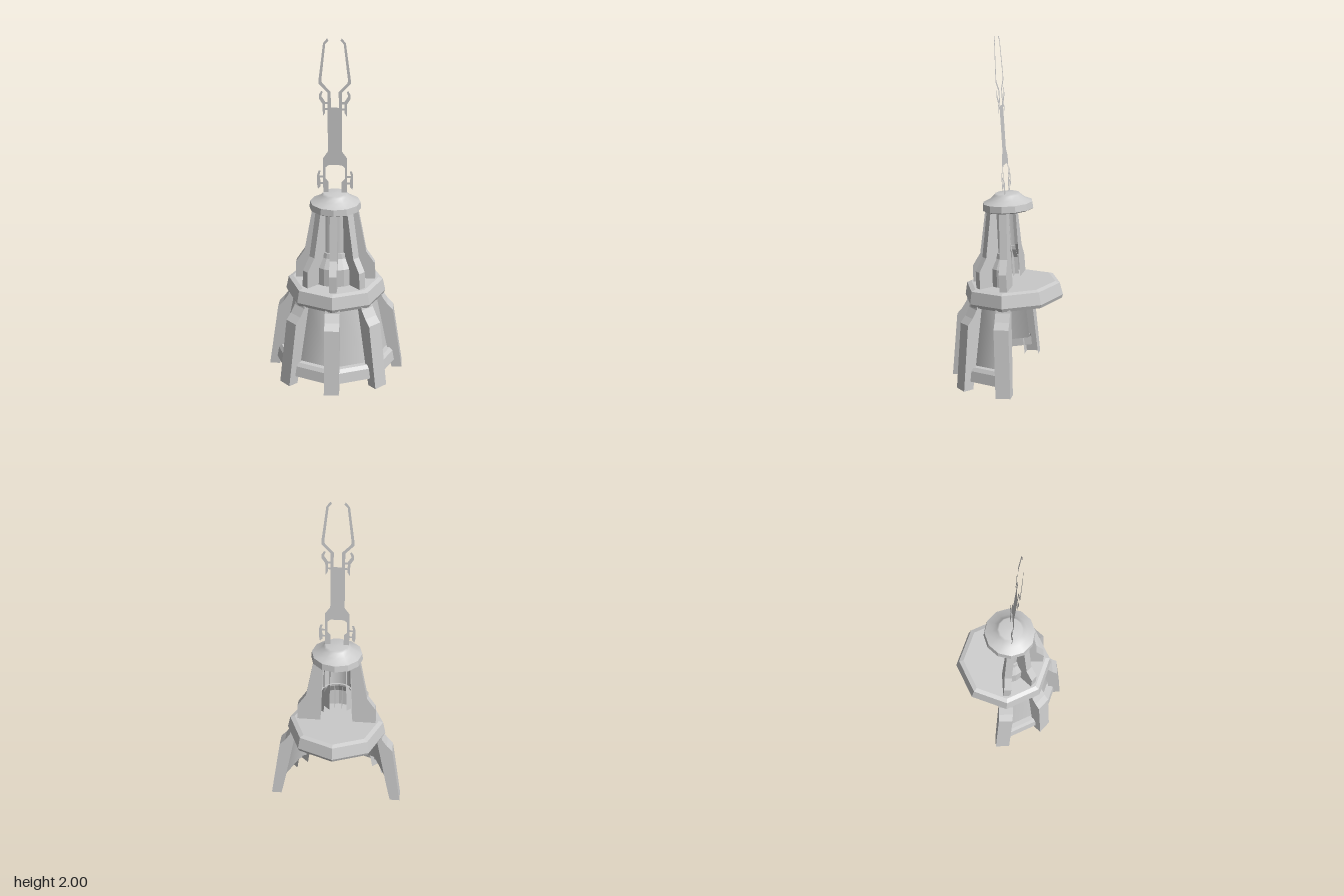
import * as THREE from 'three';
import { mergeGeometries } from 'three/addons/utils/BufferGeometryUtils.js';

export function createModel() {
  const root = new THREE.Group();
  root.name = 'tower';
  const mat = new THREE.MeshStandardMaterial({ color: 0xcccccc, flatShading: true, side: THREE.DoubleSide });
  const smooth = new THREE.MeshStandardMaterial({ color: 0xcccccc, side: THREE.DoubleSide });

  // The whole tower leans slightly forward
  const tower = new THREE.Group();
  tower.name = 'leaningTower';
  tower.rotation.x = 0.067;
  tower.position.set(0, 0.027, -0.07);
  root.add(tower);

  const add = (name, geometry, material = mat) => {
    const mesh = new THREE.Mesh(geometry, material);
    mesh.name = name;
    tower.add(mesh);
    return mesh;
  };
  const vecs = (pts) => pts.map(([x, y]) => new THREE.Vector2(x, y));
  const full = (name, pts, sides, material) =>
    add(name, new THREE.LatheGeometry(vecs(pts), sides), material);
  // Front half only; the back is open
  const half = (name, pts, sides, material) =>
    add(name, new THREE.LatheGeometry(vecs(pts), sides, -Math.PI / 2, Math.PI), material);

  // Five buttresses across the front half: two side plates and an outer strip,
  // open at the foot and against the wall
  const ribs = (name, outer, inner, width) => {
    const side = new THREE.ShapeGeometry(new THREE.Shape(vecs([...outer, ...inner])));
    const back = side.clone();
    back.index.array.reverse();
    const strip = new THREE.PlaneGeometry(1, 1, 1, outer.length - 1);
    outer.forEach(([r, y], i) => {
      strip.attributes.position.setXYZ(2 * i, r, y, -width / 2);
      strip.attributes.position.setXYZ(2 * i + 1, r, y, width / 2);
    });
    const geo = mergeGeometries([side.translate(0, 0, width / 2), back.translate(0, 0, -width / 2), strip]);
    geo.computeVertexNormals();
    for (let i = -2; i <= 2; i++) {
      add(name, geo).rotation.y = (i * Math.PI) / 4 - Math.PI / 2;
    }
  };

  // Lower storey
  half('lowerWall', [[0.312, 0.115], [0.232, 0.525]], 4, smooth);
  half('baseBand', [[0.367, 0.05], [0.356, 0.11], [0.34, 0.13], [0.309, 0.13]], 4);
  ribs('lowerButtress',
    [[0.395, 0], [0.338, 0.38], [0.305, 0.415], [0.275, 0.46], [0.255, 0.525]],
    [[0.23, 0.525], [0.31, 0.115], [0.335, 0]], 0.085);

  // Octagonal platform with a hollow underside
  full('platform', [[0, 0.568], [0.25, 0.568], [0.276, 0.559], [0.291, 0.488],
    [0.282, 0.468], [0.262, 0.468], [0.257, 0.525], [0, 0.525]], 8);

  // Upper storey
  half('upperWall', [[0.152, 0.565], [0.148, 0.67], [0.115, 0.725], [0.11, 0.755], [0.09, 0.755]], 8);
  half('upperShaft', [[0.1, 0.755], [0.095, 1.01]], 8, smooth);
  ribs('upperButtress',
    [[0.232, 0.565], [0.228, 0.665], [0.178, 0.74], [0.127, 1.01]],
    [[0.08, 1.01], [0.095, 0.565]], 0.043);

  // Cap with a flared brim and a hollow underside
  full('capTop', [[0, 1.092], [0.066, 1.09], [0.076, 1.08], [0.1, 1.058], [0.144, 1.037]], 12, smooth);
  full('capRim', [[0.144, 1.037], [0.148, 1.0], [0.135, 0.993], [0.13, 1.028], [0.075, 1.065], [0, 1.065]], 12);

  // Flat antenna: centre plate and mirrored prongs, hooks and legs
  const dy = -0.026;
  const flat = (name, pts, s = 1) =>
    add(name, new THREE.ShapeGeometry(new THREE.Shape(vecs(pts.map(([x, y]) => [x * s, y + dy])))), smooth);

  flat('antennaPlate', [[-0.037, 1.28], [0.037, 1.28], [0.055, 1.31], [0.04, 1.36], [0.04, 1.615],
    [-0.04, 1.615], [-0.04, 1.36], [-0.055, 1.31]]);
  for (const s of [1, -1]) {
    flat('antennaLeg', [[0.037, 1.28], [0.055, 1.265], [0.055, 1.2], [0.037, 1.18], [0.037, 1.11],
      [0.068, 1.11], [0.068, 1.32], [0.04, 1.36]], s);
    flat('lowerHook', [[0.084, 1.15], [0.098, 1.135], [0.102, 1.16], [0.102, 1.22], [0.094, 1.245],
      [0.082, 1.245], [0.09, 1.215], [0.084, 1.19]], s);
    flat('antennaProng', [[0.022, 1.61], [0.04, 1.61], [0.04, 1.7], [0.088, 1.75], [0.088, 1.775],
      [0.062, 1.975], [0.04, 2.002], [0.032, 1.99], [0.05, 1.97], [0.073, 1.77], [0.07, 1.755], [0.022, 1.705]], s);
    flat('upperHook', [[0.054, 1.585], [0.066, 1.565], [0.068, 1.635], [0.087, 1.665], [0.087, 1.69],
      [0.074, 1.71], [0.066, 1.705], [0.074, 1.68], [0.054, 1.65]], s);
    // Small bars joining the hooks
    for (const [x0, x1, y] of [[0.06, 0.09, 1.165], [0.06, 0.09, 1.205], [0.035, 0.06, 1.6], [0.035, 0.06, 1.635]]) {
      flat('hookBar', [[x0, y], [x1, y], [x1, y + 0.012], [x0, y + 0.012]], s);
    }
  }
  return root;
}
